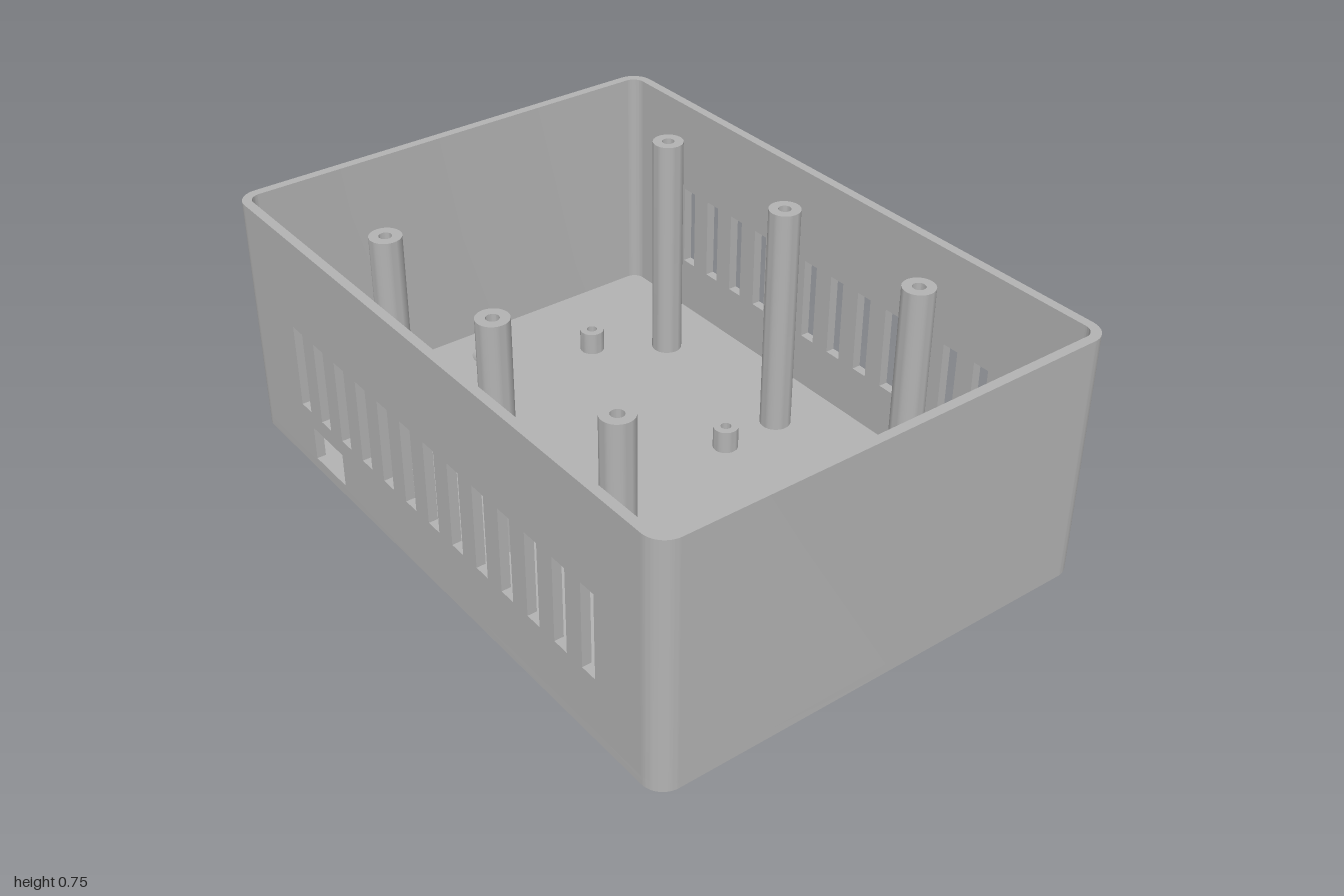
import * as THREE from 'three';
import { toCreasedNormals } from 'three/addons/utils/BufferGeometryUtils.js';

const W = 1, D = 0.718, H = 0.755;         // half width, half depth, height
const WALL = 0.028, FLOOR = 0.028, R = 0.065;
const HOLE_X = 0.836, SINK_R = 0.054, BORE_R = 0.029;

export function createModel() {
  const group = new THREE.Group();
  const grey = new THREE.MeshStandardMaterial({ color: 0xb3b3b3 });
  grey.name = 'grey plastic';

  const add = (name, geo, x = 0, y = 0, z = 0) => {
    const mesh = new THREE.Mesh(toCreasedNormals(geo, 0.5), grey);
    mesh.name = name;
    mesh.position.set(x, y, z);
    group.add(mesh);
    return mesh;
  };
  const extrude = (shape, depth) =>
    new THREE.ExtrudeGeometry(shape, { depth, bevelEnabled: false, curveSegments: 12 });
  const lathe = (pts) =>
    new THREE.LatheGeometry(pts.map(([x, y]) => new THREE.Vector2(x, y)), 32);
  const rect = (Type, x0, y0, x1, y1) => {
    const p = new Type();
    p.moveTo(x0, y0);
    p.lineTo(x1, y0);
    p.lineTo(x1, y1);
    p.lineTo(x0, y1);
    p.closePath();
    return p;
  };

  // Floor with rounded corners and two countersunk mounting holes
  const floor = new THREE.Shape();
  floor.absarc(W - R, D - R, R, 0, Math.PI / 2);
  floor.absarc(R - W, D - R, R, Math.PI / 2, Math.PI);
  floor.absarc(R - W, R - D, R, Math.PI, Math.PI * 1.5);
  floor.absarc(W - R, R - D, R, Math.PI * 1.5, Math.PI * 2);
  for (const s of [-1, 1]) {
    floor.holes.push(new THREE.Path().absarc(s * HOLE_X, 0, SINK_R, 0, Math.PI * 2, true));
    add('mountingHole', lathe([
      [SINK_R, FLOOR], [BORE_R, 0.008], [BORE_R, 0], [SINK_R, 0],
    ]), s * HOLE_X);
  }
  add('floor', extrude(floor, FLOOR).rotateX(-Math.PI / 2));

  // End walls, each including two rounded corners
  const end = new THREE.Shape();
  end.moveTo(W - R, -D);
  end.absarc(W - R, R - D, R, -Math.PI / 2, 0);
  end.absarc(W - R, D - R, R, 0, Math.PI / 2);
  end.lineTo(W - R, D - WALL);
  end.absarc(W - R, D - R, R - WALL, Math.PI / 2, 0, true);
  end.absarc(W - R, R - D, R - WALL, 0, -Math.PI / 2, true);
  end.closePath();
  for (const [name, turn] of [['leftWall', 0], ['rightWall', Math.PI]]) {
    add(name, extrude(end, H - FLOOR).rotateX(-Math.PI / 2), 0, FLOOR).rotation.y = turn;
  }

  // Front and back walls with ventilation slots; the front also has a port
  for (const front of [true, false]) {
    const panel = rect(THREE.Shape, R - W, FLOOR, W - R, H);
    for (let i = 0; i < 13; i++) {
      const x = -0.682 + i * 0.1174;
      panel.holes.push(rect(THREE.Path, x - 0.0265, 0.199, x + 0.0265, 0.462));
    }
    if (front) panel.holes.push(rect(THREE.Path, -0.652, 0.037, -0.483, 0.145));
    add(front ? 'frontWall' : 'backWall', extrude(panel, WALL), 0, 0, front ? D - WALL : -D);
  }

  // Screw posts with blind holes: tall for the lid, short for the board
  const post = (name, x, z, radius, bore, top, bottom) => add(name, lathe([
    [radius, FLOOR], [radius, top], [bore, top], [bore, bottom], [0, bottom],
  ]), x, 0, z);
  for (const s of [-1, 1]) {
    for (const x of [-0.54, 0, 0.54]) post('lidPost', x, s * 0.49, 0.047, 0.019, H, 0.5);
    for (const x of [-0.671, 0.01]) post('boardPost', x, s * 0.288, 0.038, 0.016, 0.1, 0.03);
  }
  return group;
}
